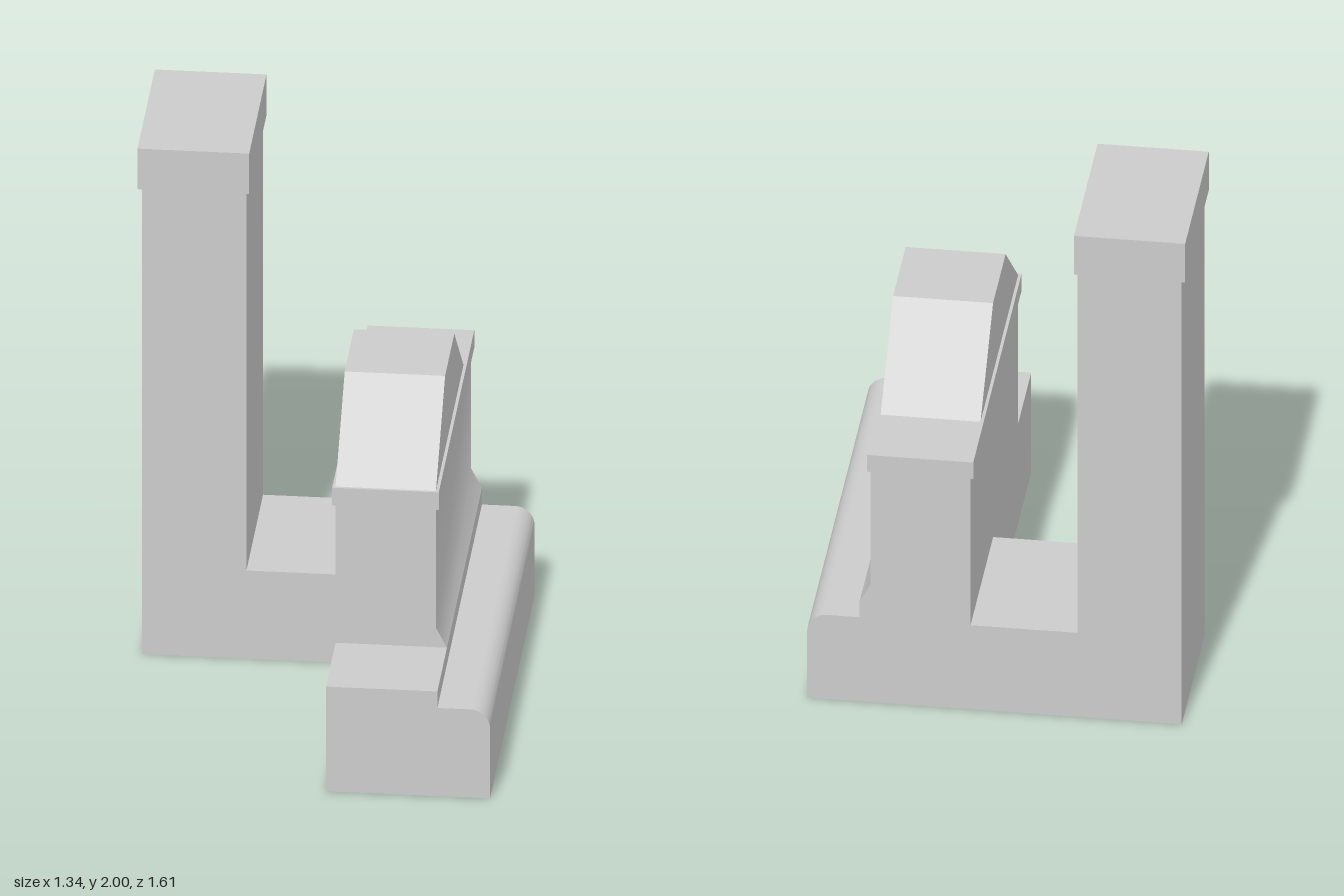
import * as THREE from 'three';
import { toCreasedNormals } from 'three/addons/utils/BufferGeometryUtils.js';

const material = new THREE.MeshStandardMaterial({ color: 0xcccccc });

function add(group, name, geometry) {
  const mesh = new THREE.Mesh(geometry, material);
  mesh.name = name;
  group.add(mesh);
  return mesh;
}

// Box given by its minimum and maximum corners
function block(group, name, [x0, y0, z0], [x1, y1, z1]) {
  const mesh = add(group, name, new THREE.BoxGeometry(x1 - x0, y1 - y0, z1 - z0));
  mesh.position.set((x0 + x1) / 2, (y0 + y1) / 2, (z0 + z1) / 2);
}

// Front (x, y) profile extruded from z0 to z1
function prism(shape, z0, z1) {
  const geometry = new THREE.ExtrudeGeometry(shape, { depth: z1 - z0, bevelEnabled: false, curveSegments: 12 });
  geometry.translate(0, 0, z0);
  return toCreasedNormals(geometry, 0.5);
}

const polygon = (points) => new THREE.Shape(points.map(([x, y]) => new THREE.Vector2(x, y)));

export function createModel() {
  const model = new THREE.Group();
  model.name = 'chimneyBuilding';

  // Tall tower joined to the base by a low connecting block
  add(model, 'towerAndLink', prism(polygon([
    [-0.66, 0], [0.09, 0], [0.09, 0.348], [-0.29, 0.348], [-0.29, 1.84], [-0.66, 1.84],
  ]), -0.79, -0.197));
  block(model, 'towerCap', [-0.674, 1.84, -0.803], [-0.279, 2, -0.183]);

  // Long base with a rounded outer ledge
  const base = new THREE.Shape();
  base.moveTo(0.09, 0);
  base.lineTo(0.67, 0);
  base.lineTo(0.67, 0.278);
  base.absarc(0.6, 0.278, 0.07, 0, Math.PI / 2, false);
  base.lineTo(0.484, 0.348);
  base.lineTo(0.484, 0.413);
  base.lineTo(0.09, 0.413);
  base.closePath();
  add(model, 'base', prism(base, -0.79, 0.803));

  // Upright wall with a sloped foot on its outer side
  add(model, 'wall', prism(polygon([
    [0.09, 0.413], [0.484, 0.413], [0.445, 0.49], [0.445, 0.96], [0.09, 0.96],
  ]), -0.79, 0.46));
  block(model, 'wallCap', [0.079, 0.96, -0.8], [0.456, 1.029, 0.47]);

  // Trapezoid hood: side profile turned so that its length runs along z
  const hood = prism(polygon([
    [-0.46, 1.029], [0.527, 1.029], [0.198, 1.318], [-0.132, 1.318],
  ]), 0.09, 0.445);
  hood.rotateY(Math.PI / 2);
  add(model, 'hood', hood);

  return model;
}
